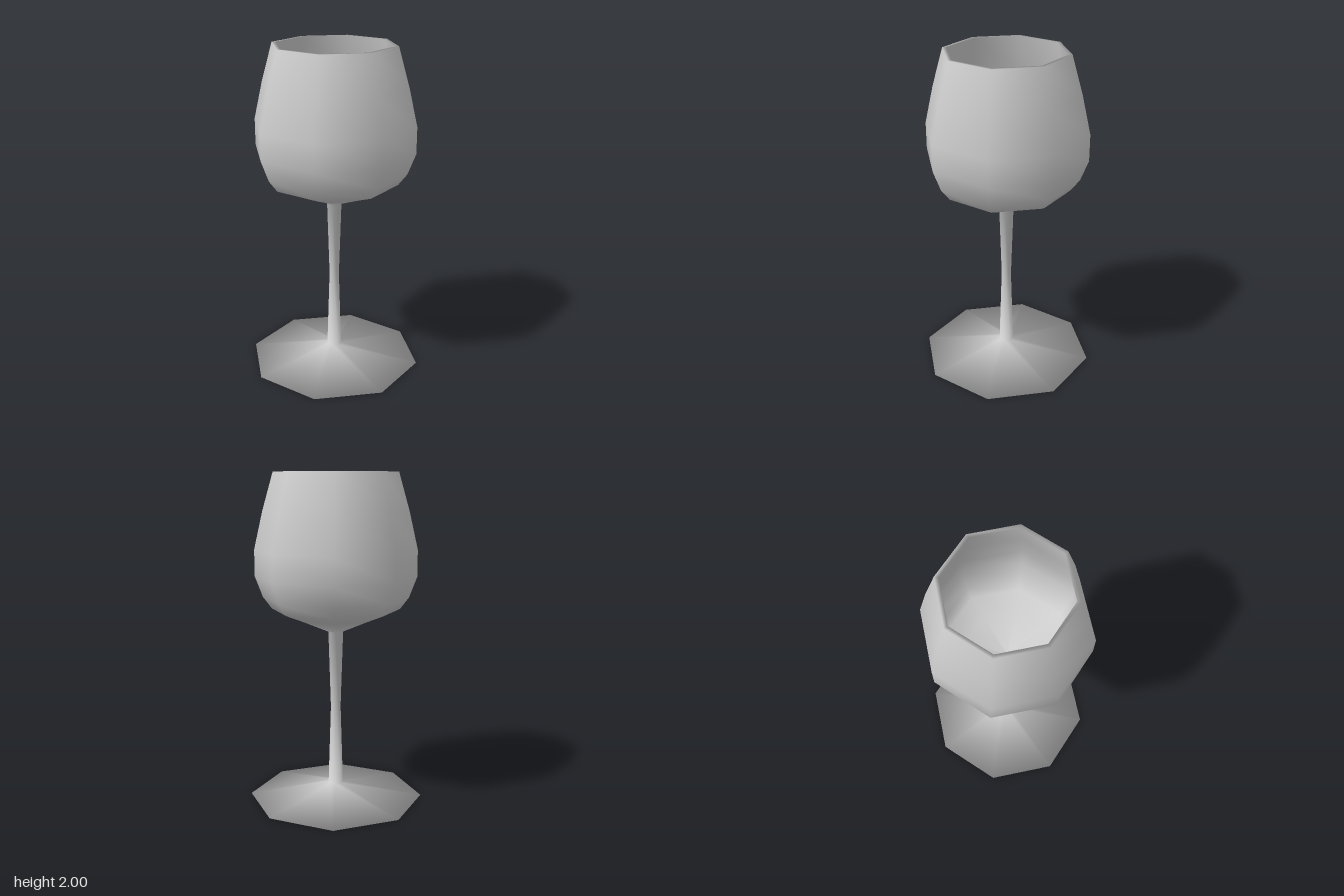
import * as THREE from 'three';

const SIDES = 8;

// Half-profiles [radius, height], running from the underside up and over the rim
const foot = [[0, 0], [0.535, 0], [0.045, 0.088]];
const stem = [[0.03, 0.58], [0.045, 1.05]];
const bowlOutside = [
  [0.26, 1.14], [0.387, 1.19], [0.44, 1.26], [0.487, 1.385],
  [0.487, 1.545], [0.435, 1.77], [0.369, 2],
];
const bowlInside = [
  [0.346, 2], [0.412, 1.765], [0.463, 1.54], [0.463, 1.39],
  [0.42, 1.28], [0.375, 1.215], [0.25, 1.165], [0, 1.08],
];

export function createModel() {
  const group = new THREE.Group();
  group.name = 'wineGlass';
  const material = new THREE.MeshStandardMaterial({ color: 0xcccccc });

  // One continuous turned surface, so shading flows smoothly between the parts
  const profile = [...foot, ...stem, ...bowlOutside, ...bowlInside]
    .map(([r, y]) => new THREE.Vector2(r, y));
  const whole = new THREE.LatheGeometry(profile, SIDES);
  const bands = profile.length - 1;

  // Take the bands from..to of the turned surface as a separate part
  function addPart(name, from, to) {
    const geometry = whole.clone();
    const index = Array.from(whole.index.array)
      .filter((_, i) => {
        const band = Math.floor(i / 6) % bands;
        return band >= from && band < to;
      });
    geometry.setIndex(index);
    const mesh = new THREE.Mesh(geometry, material);
    mesh.name = name;
    group.add(mesh);
  }

  const stemStart = foot.length - 1;
  const bowlStart = stemStart + stem.length;
  const rim = bowlStart + bowlOutside.length;
  addPart('foot', 0, stemStart);
  addPart('stem', stemStart, bowlStart);
  addPart('bowlOutside', bowlStart, rim);
  addPart('rim', rim, rim + 1);
  addPart('bowlInside', rim + 1, bands);

  return group;
}
